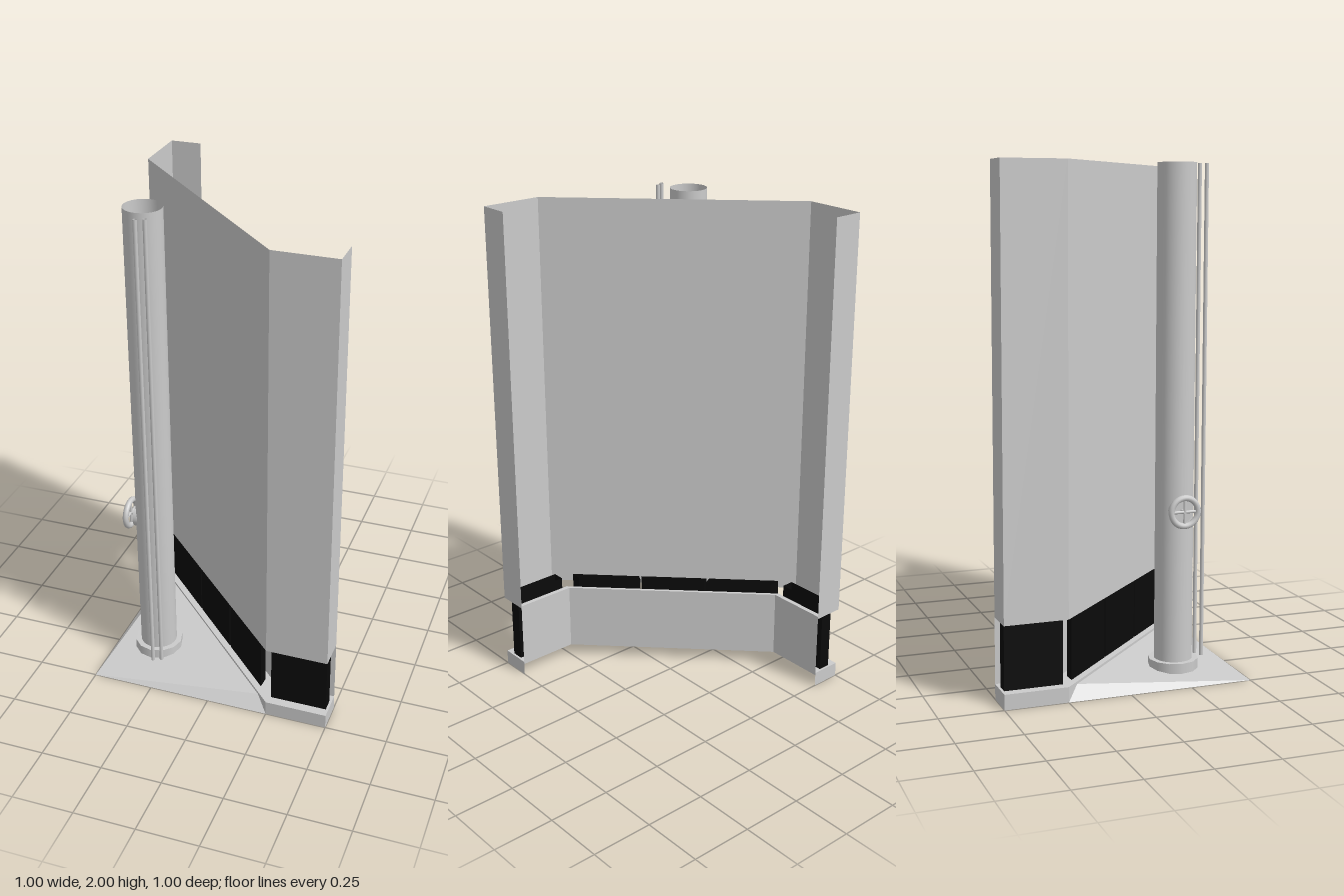
import * as THREE from 'three';

const grey = new THREE.MeshStandardMaterial({ color: 0xcccccc, side: THREE.DoubleSide });
const black = new THREE.MeshStandardMaterial({ color: 0x0a0a0a, side: THREE.DoubleSide });

// Plan outline [x, z] of the cranked screen: outer face and inner face
const outer = [[-0.5, -0.5], [-0.5, -0.25], [0.25, 0.5], [0.5, 0.5]];
const inner = [[-0.375, -0.5], [-0.375, -0.25], [0.25, 0.375], [0.5, 0.375]];
const mix = (a, b, t) => [a[0] + (b[0] - a[0]) * t, a[1] + (b[1] - a[1]) * t];
const between = (t) => outer.map((p, i) => mix(p, inner[i], t));

// Builds flat quads from corner lists
function quads(list) {
  const pos = [];
  for (const [a, b, c, d] of list) pos.push(...a, ...b, ...c, ...a, ...c, ...d);
  const g = new THREE.BufferGeometry();
  g.setAttribute('position', new THREE.Float32BufferAttribute(pos, 3));
  g.computeVertexNormals();
  return g;
}

// Upright sheet following a plan path
function sheet(path, y0, y1) {
  const list = [];
  for (let i = 0; i < path.length - 1; i++) {
    const [a, b] = [path[i], path[i + 1]];
    list.push([[a[0], y0, a[1]], [b[0], y0, b[1]], [b[0], y1, b[1]], [a[0], y1, a[1]]]);
  }
  return quads(list);
}

// Level plate between two plan paths
function plate(p, q, y) {
  const list = [];
  for (let i = 0; i < p.length - 1; i++) {
    list.push([p[i], p[i + 1], q[i + 1], q[i]].map(([x, z]) => [x, y, z]));
  }
  return quads(list);
}

export function createModel() {
  const model = new THREE.Group();
  const add = (name, geometry, material = grey, parent = model) => {
    const mesh = new THREE.Mesh(geometry, material);
    mesh.name = name;
    parent.add(mesh);
    return mesh;
  };

  // Screen wall and base trim: outer face with returned ends, open at the back
  const shell = [inner[0], ...outer, inner[3]];
  add('upperWall', sheet(shell, 0.32, 2));
  add('baseTrim', sheet(shell, 0, 0.06));
  add('baseTrimTop', plate(outer, inner, 0.06));

  // Low back panel with a narrow top flange
  add('backPanel', sheet(inner, 0.05, 0.33));
  add('backPanelFlange', plate(between(0.85), inner, 0.33));

  // Black inserts in the slot: one on each wing, three on the diagonal
  const front = between(0.3);
  const rear = between(0.7);
  const inserts = [[0, 0.04, 0.96], [1, 0.05, 0.345], [1, 0.355, 0.635], [1, 0.645, 0.93], [2, 0.04, 0.96]];
  for (const [i, s0, s1] of inserts) {
    const a = mix(front[i], front[i + 1], s0);
    const b = mix(front[i], front[i + 1], s1);
    const c = mix(rear[i], rear[i + 1], s1);
    const d = mix(rear[i], rear[i + 1], s0);
    add('slotInsert', sheet([a, b, c, d, a], 0.06, 0.365), black);
  }

  // Gently sloping triangular floor, raised along the screen
  const corner = [-0.5, 0, 0.5];
  const lowBack = [-0.5, 0, -0.25];
  const lowFront = [0.25, 0, 0.5];
  const highBack = [-0.45, 0.05, -0.2];
  const highFront = [0.2, 0.05, 0.45];
  add('floor', quads([
    [corner, highFront, highBack, corner],
    [corner, highBack, lowBack, corner],
    [corner, lowFront, highFront, corner],
  ].map((q) => q)));

  // Open standing pipe with a twelve-sided foot flange
  const px = -0.313, pz = 0.25;
  const pipe = add('pipe', new THREE.CylinderGeometry(0.075, 0.075, 1.97, 32, 1, true));
  pipe.position.set(px, 1.015, pz);
  const flange = add('pipeFlange', new THREE.CylinderGeometry(0.099, 0.099, 0.04, 12));
  flange.position.set(px, 0.046, pz);

  // Two thin rods beside the pipe
  for (const [x, z] of [[-0.286, 0.385], [-0.254, 0.37]]) {
    const rod = add('rod', new THREE.CylinderGeometry(0.008, 0.008, 1.95, 10, 1, true));
    rod.position.set(x, 1.025, z);
  }

  // Valve handwheel on the pipe, its axis along x
  const valve = new THREE.Group();
  valve.name = 'valve';
  valve.position.set(-0.417, 0.673, pz);
  model.add(valve);
  add('wheelRim', new THREE.TorusGeometry(0.055, 0.012, 10, 32), grey, valve).rotation.y = Math.PI / 2;
  const stem = add('valveStem', new THREE.CylinderGeometry(0.007, 0.007, 0.04, 10), grey, valve);
  stem.rotation.z = Math.PI / 2;
  stem.position.x = 0.015;
  const hub = add('valveHub', new THREE.CylinderGeometry(0.049, 0.049, 0.05, 24), grey, valve);
  hub.rotation.z = Math.PI / 2;
  hub.position.x = 0.052;
  for (let i = 0; i < 2; i++) {
    const spoke = add('wheelSpoke', new THREE.CylinderGeometry(0.006, 0.006, 0.11, 8), grey, valve);
    spoke.rotation.x = (i * Math.PI) / 2;
  }
  return model;
}
